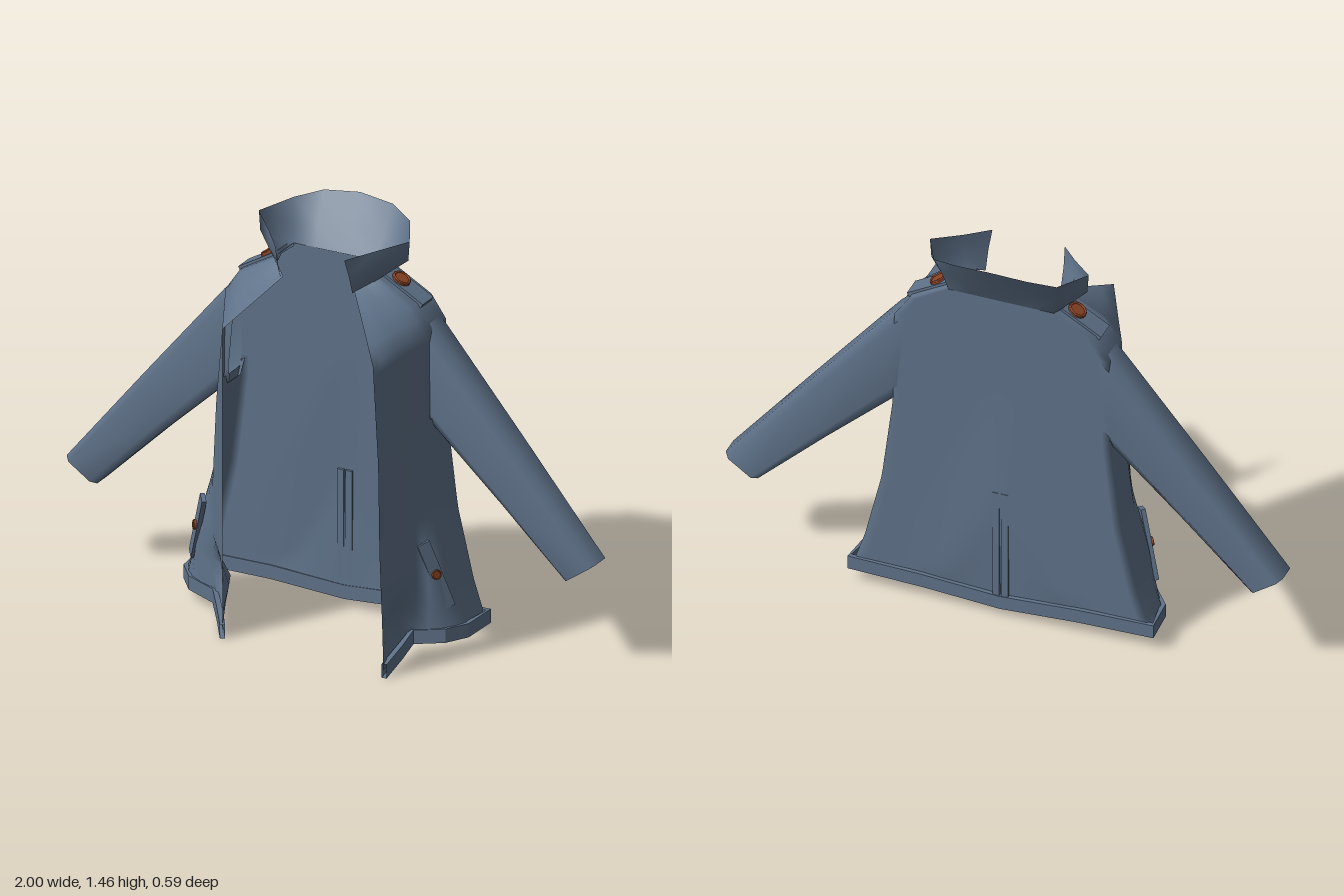
import * as THREE from 'three';

const cloth = new THREE.MeshStandardMaterial({ color: 0x5f7289, side: THREE.DoubleSide });
cloth.name = 'blueCloth';
const horn = new THREE.MeshStandardMaterial({ color: 0x8c4424 });
horn.name = 'brownButton';

const lerp = THREE.MathUtils.lerp;
const clamp01 = v => Math.min(1, Math.max(0, v));

function add(parent, geometry, material, name) {
  const m = new THREE.Mesh(geometry, material);
  m.name = name;
  parent.add(m);
  return m;
}

// Surface through rows of points; skip(i, j) leaves openings
function loft(rows, closed = false, skip = () => false) {
  const n = rows[0].length, index = [];
  for (let i = 0; i < rows.length - 1; i++) {
    for (let j = 0; j < (closed ? n : n - 1); j++) {
      if (skip(i, j)) continue;
      const a = i * n + j, b = i * n + (j + 1) % n, c = b + n, d = a + n;
      index.push(a, d, b, b, d, c);
    }
  }
  const g = new THREE.BufferGeometry();
  g.setAttribute('position', new THREE.Float32BufferAttribute(rows.flat(2), 3));
  g.setIndex(index);
  g.computeVertexNormals();
  return g;
}

// y, half width, middle and edge x of left front, of right front, middle z, edge z, edge drop
const PROFILE = [
  [1.28, 0.19, 0.17, 0.14, 0.17, 0.13, -0.03, 0.01, 0.04],
  [1.20, 0.33, 0.29, 0.25, 0.27, 0.18, 0.03, 0.15, 0.02],
  [1.12, 0.385, 0.365, 0.365, 0.32, 0.23, 0.07, 0.30, 0],
  [0.77, 0.39, 0.38, 0.385, 0.35, 0.23, 0.07, 0.30, 0],
  [0.45, 0.43, 0.395, 0.39, 0.37, 0.23, 0.06, 0.30, 0],
  [0.20, 0.49, 0.40, 0.40, 0.37, 0.23, 0.06, 0.30, 0],
  [0.08, 0.53, 0.38, 0.405, 0.36, 0.23, 0.06, 0.30, 0.05],
];

function profileAt(y) {
  let k = 0;
  while (k < PROFILE.length - 2 && y < PROFILE[k + 1][0]) k++;
  const a = PROFILE[k], b = PROFILE[k + 1], t = (a[0] - y) / (a[0] - b[0]);
  return a.map((v, i) => lerp(v, b[i], t));
}

// Shallow outward fold low on the back, highest along an inverted V
function backFold(x, y) {
  const ax = Math.abs(x);
  const start = 0.88 - 2.1 * Math.max(0, ax - 0.04);
  const peak = Math.max(0.12, 0.49 - 1.9 * ax);
  if (start <= peak) return 0;
  const size = 0.012 * clamp01(1 - (ax / 0.32) ** 2);
  return size * (y > peak ? clamp01((start - y) / (start - peak)) : clamp01((y - 0.07) / (peak - 0.07)));
}

const FRONT = 8, BACK = 28;

function bodyRow(y) {
  const [, w, mL, fL, mR, fR, mz, fz, drop] = profileAt(y);
  const front = (s, i) => {
    const t = i / FRONT, m = s > 0 ? mL : mR, f = s > 0 ? fL : fR, ez = s > 0 ? fz : fz * 0.84;
    const u = t < 0.5 ? t * 2 : t * 2 - 1;
    let x = t < 0.5 ? lerp(w, m, u) : lerp(m, f, u);
    let z = t < 0.5 ? lerp(-0.06, mz, u) : lerp(mz, ez, u);
    if (t < 0.5) {
      // fullness under the pocket
      const full = 0.026 * Math.sin(Math.PI * u) * clamp01((0.5 - y) / 0.2);
      x += full;
      z += full * 0.7;
    } else {
      // pucker above the hem
      const pucker = Math.sin(Math.PI * u) * clamp01(1 - Math.abs(y - 0.16) / 0.1);
      if (s > 0) x -= 0.04 * pucker;
      else z -= 0.09 * pucker;
    }
    return [s * x, y - drop * t, z];
  };
  const row = [];
  for (let i = FRONT; i >= 0; i--) row.push(front(-1, i));
  for (let i = 0; i <= BACK; i++) {
    const x = w * (i / BACK * 2 - 1);
    row.push([x, y, -0.18 - backFold(x, y)]);
  }
  for (let i = 0; i <= FRONT; i++) row.push(front(1, i));
  return row;
}

// Flat strip from a to b facing n, with a button of radius r at fraction t
function strap(parent, name, a, b, n, width, r, t) {
  const A = new THREE.Vector3(...a), B = new THREE.Vector3(...b);
  const along = B.clone().sub(A), length = along.length();
  along.normalize();
  const side = new THREE.Vector3().crossVectors(along, new THREE.Vector3(...n)).normalize();
  const up = new THREE.Vector3().crossVectors(side, along);
  const g = new THREE.Group();
  g.name = name;
  g.quaternion.setFromRotationMatrix(new THREE.Matrix4().makeBasis(along, up, side));
  g.position.copy(A).lerp(B, 0.5);
  add(g, new THREE.BoxGeometry(length, 0.016, width), cloth, name + 'Strip');
  const x = (t - 0.5) * length;
  add(g, new THREE.CylinderGeometry(r, r, 0.008, 16), horn, name + 'Button').position.set(x, 0.011, 0);
  const rim = add(g, new THREE.TorusGeometry(r * 0.85, r * 0.12, 6, 16), horn, name + 'ButtonRim');
  rim.rotation.x = Math.PI / 2;
  rim.position.set(x, 0.015, 0);
  parent.add(g);
}

export function createModel() {
  const jacket = new THREE.Group();
  jacket.name = 'jacket';

  // Body, open at the front and at the armholes
  const ys = [1.28, 1.24, 1.2, 1.16, 1.12];
  for (let y = 1.08; y > 0.07; y -= 0.04) ys.push(y);
  add(jacket, loft(ys.map(bodyRow), false, (i, j) =>
    (j === FRONT || j === FRONT + BACK + 1) && ys[i] < 1.06 && ys[i] > 0.82), cloth, 'body');

  // Sleeves: upper point, lower point and half depth of each section
  const sections = [
    [0.345, 1.165, 0.38, 0.775, 0.06], [0.40, 1.11, 0.395, 0.765, 0.062],
    [0.70, 0.75, 0.64, 0.54, 0.06], [1.0, 0.385, 0.885, 0.305, 0.056],
  ];
  const oval = [[1, 0.6], [0.7, 1], [-0.7, 1], [-1, 0.6], [-1, -0.6], [-0.7, -1], [0.7, -1], [1, -0.6]];
  for (const s of [1, -1]) {
    const rows = sections.map(([ux, uy, lx, ly, d]) => oval.map(([a, z]) =>
      [s * lerp(lx, ux, (a + 1) / 2), lerp(ly, uy, (a + 1) / 2), -0.122 + z * d]));
    add(jacket, loft(rows, true), cloth, s > 0 ? 'leftSleeve' : 'rightSleeve');
  }

  // Flared standing collar: half of each ring from the nape to the front tip
  const rings = [
    [[0, 1.27, -0.18], [0.11, 1.27, -0.18], [0.19, 1.27, -0.18], [0.195, 1.27, -0.1], [0.18, 1.26, -0.04], [0.135, 1.235, 0.015]],
    [[0, 1.35, -0.225], [0.12, 1.345, -0.222], [0.205, 1.34, -0.2], [0.28, 1.335, -0.11], [0.2, 1.32, -0.02], [0.135, 1.305, 0.04]],
    [[0, 1.46, -0.293], [0.13, 1.448, -0.28], [0.22, 1.42, -0.235], [0.285, 1.405, -0.11], [0.2, 1.385, -0.02], [0.13, 1.37, 0.063]],
  ];
  const collar = rings.map(r => [...r.slice(1).reverse().map(([x, y, z]) => [-x, y, z]), ...r]);
  add(jacket, loft(collar), cloth, 'collar');

  // Hem band around the bottom edge
  const hem = [
    [-0.23, 0.025, 0.25], [-0.29, 0.045, 0.16], [-0.36, 0.06, 0.06], [-0.475, 0.068, 0.015], [-0.53, 0.07, -0.055],
    [-0.545, 0.074, -0.182], [-0.28, 0.072, -0.187], [0, 0.055, -0.187], [0.28, 0.072, -0.187], [0.545, 0.074, -0.182],
    [0.53, 0.07, -0.055], [0.485, 0.068, 0.015], [0.385, 0.06, 0.06], [0.395, 0.045, 0.16], [0.405, 0.025, 0.295],
  ];
  const band = hem.map((p, i) => {
    const a = hem[Math.max(0, i - 1)], b = hem[Math.min(hem.length - 1, i + 1)];
    const dx = b[0] - a[0], dz = b[2] - a[2], l = Math.hypot(dx, dz);
    return [[1, -1], [1, 1], [-1, 1], [-1, -1]].map(([o, h]) =>
      [p[0] - dz / l * o * 0.009, p[1] + h * 0.025, p[2] + dx / l * o * 0.009]);
  });
  const bandGeometry = loft(band, true).toNonIndexed();
  bandGeometry.computeVertexNormals();
  add(jacket, bandGeometry, cloth, 'hem');

  // Twin strips of the back vent
  for (const s of [1, -1]) {
    add(jacket, new THREE.BoxGeometry(0.024, 0.45, 0.012), cloth, 'backVentStrip').position.set(s * 0.016, 0.27, -0.187);
  }

  // Shoulder straps and slanted pockets with buttons
  for (const s of [1, -1]) {
    const label = s > 0 ? 'left' : 'right';
    strap(jacket, label + 'ShoulderStrap', [s * 0.2, 1.276, -0.12], [s * 0.345, 1.193, -0.12], [s * 0.5, 0.86, 0], 0.076, 0.033, 0.3);
    strap(jacket, label + 'Pocket', [s * 0.415, 0.395, 0.04], [s * 0.485, 0.16, -0.012], [s * 0.75, 0.2, 0.65], 0.045, 0.017, 0.48);
  }
  return jacket;
}
